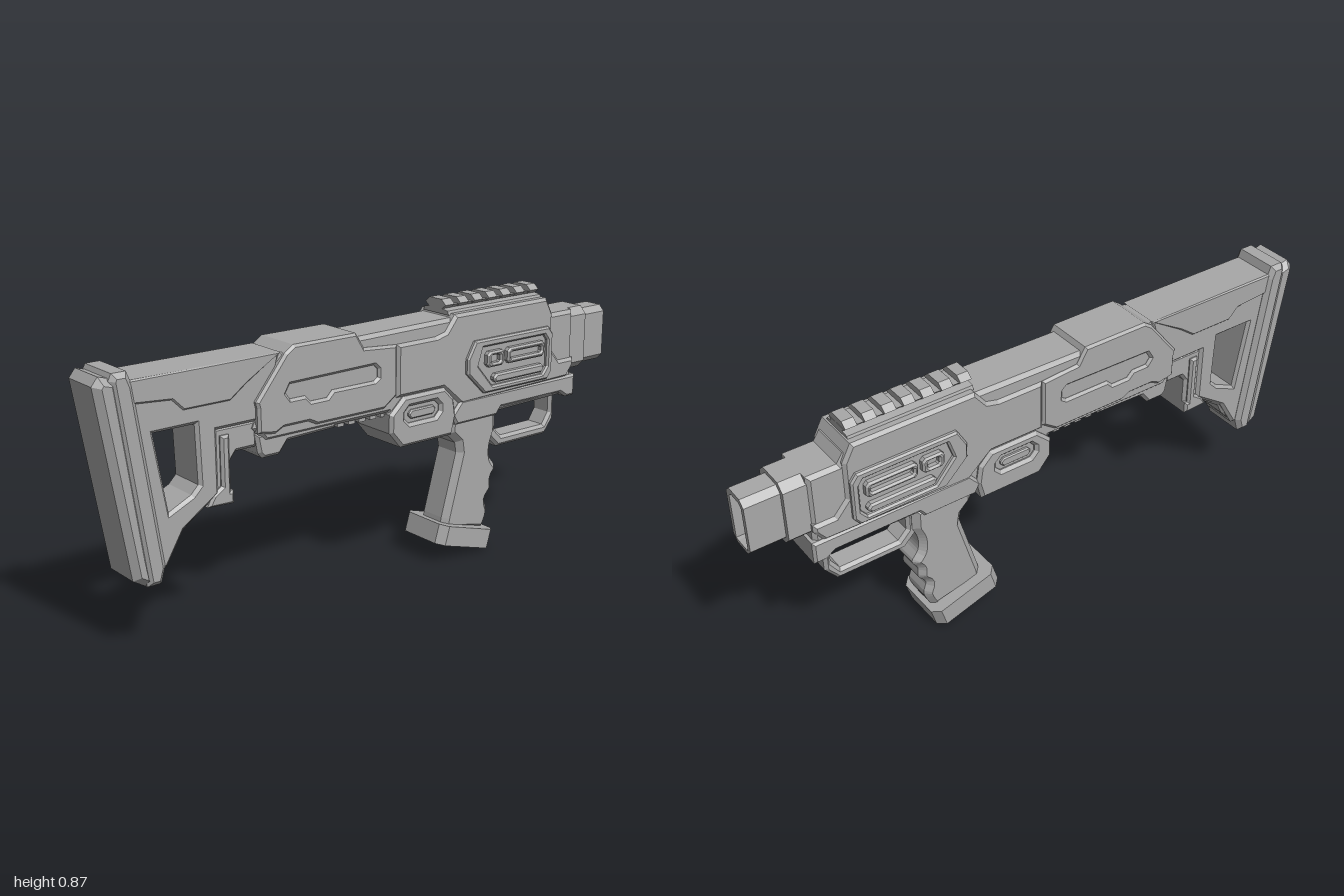
import * as THREE from 'three';

const grey = new THREE.MeshStandardMaterial({ color: 0xa8a8a8 });
grey.name = 'gunmetal grey';

// Flat list x, y, x, y ... to points
function toPoints(list) {
  const out = [];
  for (let i = 0; i < list.length; i += 2) out.push(new THREE.Vector2(list[i], list[i + 1]));
  return out;
}

// Shape with a counter-clockwise outline and clockwise holes
function toShape(points, holes) {
  const wind = (pts, clockwise) => (THREE.ShapeUtils.isClockWise(pts) === clockwise ? pts : pts.reverse());
  const shape = new THREE.Shape(wind(points, false));
  for (const h of holes) shape.holes.push(new THREE.Path(wind(toPoints(h), true)));
  return shape;
}

// Rectangle with clipped corners
function clipped(x0, x1, y0, y1, c) {
  return [x0 + c, y0, x1 - c, y0, x1, y0 + c, x1, y1 - c, x1 - c, y1, x0 + c, y1, x0, y1 - c, x0, y0 + c];
}

export function createModel() {
  const model = new THREE.Group();
  const add = (name, geometry) => {
    const mesh = new THREE.Mesh(geometry, grey);
    mesh.name = name;
    model.add(mesh);
    return mesh;
  };

  // Side profile extruded through z, symmetric, with chamfered rims
  const slabFrom = (name, points, half, bevel, holes = []) => {
    const g = new THREE.ExtrudeGeometry(toShape(points, holes), {
      depth: 2 * (half - bevel), bevelThickness: bevel, bevelSize: bevel, bevelOffset: -bevel, bevelSegments: 1,
    });
    g.translate(0, 0, -(half - bevel));
    return add(name, g);
  };
  const slab = (name, outline, half, bevel, holes) => slabFrom(name, toPoints(outline), half, bevel, holes);

  // Cross-section (z, y) extruded along x
  const alongX = (name, outline, x0, x1, holes = []) => {
    const g = new THREE.ExtrudeGeometry(toShape(toPoints(outline), holes), { depth: x1 - x0, bevelEnabled: false });
    g.rotateY(Math.PI / 2);
    g.translate(x0, 0, 0);
    return add(name, g);
  };

  // Butt pad in two layers
  slab('buttPad', [-1, 0.81, -0.98, 0.835, -0.93, 0.82, -0.85, 0.22, -0.87, 0.21, -0.91, 0.235], 0.082, 0.02);
  slab('buttPlate', [-0.955, 0.82, -0.945, 0.84, -0.9, 0.84, -0.885, 0.8, -0.81, 0.26, -0.825, 0.21, -0.87, 0.21], 0.086, 0.015);

  // Stock with its opening, raised cheek panel and lower brace
  slab('stock', [-0.91, 0.81, -0.4, 0.81, -0.45, 0.62, -0.62, 0.62, -0.62, 0.43, -0.74, 0.35, -0.8, 0.25, -0.85, 0.25],
    0.07, 0.01, [[-0.825, 0.65, -0.69, 0.65, -0.685, 0.47, -0.71, 0.445, -0.785, 0.41]]);
  slab('cheekPanel', [-0.9, 0.813, -0.4, 0.813, -0.52, 0.74, -0.575, 0.7, -0.73, 0.7, -0.765, 0.735, -0.89, 0.745], 0.075, 0.005);
  slab('stockBrace', [-0.64, 0.625, -0.48, 0.625, -0.48, 0.54, -0.55, 0.54, -0.57, 0.515, -0.57, 0.39, -0.66, 0.395,
    -0.74, 0.34, -0.76, 0.3, -0.82, 0.235, -0.83, 0.3, -0.67, 0.43, -0.64, 0.46], 0.06, 0.01);
  slab('stockHook', [-0.61, 0.6, -0.58, 0.6, -0.58, 0.43, -0.57, 0.43, -0.57, 0.39, -0.66, 0.395, -0.64, 0.43, -0.61, 0.45], 0.072, 0.008);

  // Receiver core and the raised panels over it
  slab('receiver', [-0.5, 0.6, -0.4, 0.81, 0.3, 0.82, 0.7, 0.8, 0.72, 0.77, 0.82, 0.77, 0.82, 0.48, 0.32, 0.47, 0.04, 0.47,
    0, 0.555, -0.2, 0.555, -0.46, 0.555], 0.077, 0.012);
  slab('rearPanel', [-0.495, 0.68, -0.49, 0.66, -0.49, 0.585, -0.43, 0.575, -0.4, 0.59, -0.31, 0.59, -0.28, 0.575,
    -0.02, 0.575, 0.03, 0.61, 0.03, 0.77, -0.1, 0.78, -0.13, 0.83, -0.36, 0.83, -0.39, 0.81], 0.086, 0.008,
    [[-0.39, 0.69, -0.375, 0.715, -0.06, 0.72, -0.045, 0.705, -0.045, 0.68, -0.06, 0.67, -0.22, 0.67, -0.24, 0.65,
      -0.3, 0.65, -0.32, 0.67, -0.375, 0.67]]);
  slab('frontReceiver', [0.03, 0.6, 0.03, 0.77, 0.19, 0.77, 0.23, 0.78, 0.27, 0.83, 0.68, 0.83, 0.71, 0.775,
    0.71, 0.65, 0.75, 0.605, 0.82, 0.605, 0.82, 0.58, 0.79, 0.54, 0.3, 0.53, 0.22, 0.6], 0.087, 0.01);
  slab('lowerRail', [0.3, 0.545, 0.83, 0.545, 0.83, 0.47, 0.79, 0.47, 0.76, 0.49, 0.48, 0.49, 0.46, 0.465, 0.28, 0.465, 0.26, 0.5],
    0.087, 0.008);

  // Underside lug and ribs
  slab('rearLug', [-0.49, 0.58, -0.48, 0.52, -0.465, 0.503, -0.405, 0.503, -0.375, 0.54, -0.2, 0.545, -0.18, 0.58], 0.07, 0.01);
  for (let i = 0; i < 5; i++) {
    const rib = add('undersideRib', new THREE.BoxGeometry(0.025, 0.03, 0.11));
    rib.position.set(-0.17 + i * 0.042, 0.555, 0);
  }

  // Octagonal side housing with recessed slot
  slab('lowerHousing', [0, 0.49, 0.045, 0.437, 0.26, 0.437, 0.275, 0.5, 0.265, 0.56, 0.225, 0.6, 0.055, 0.6, 0, 0.55],
    0.091, 0.01, [clipped(0.06, 0.205, 0.51, 0.565, 0.018)]);
  slab('housingInsert', clipped(0.078, 0.187, 0.523, 0.552, 0.01), 0.087, 0.004);

  // Framed window and its inserts on each side
  slab('sideFrame', [0.313, 0.63, 0.313, 0.68, 0.345, 0.735, 0.68, 0.735, 0.7, 0.71, 0.7, 0.58, 0.68, 0.555, 0.39, 0.555],
    0.101, 0.006, [[0.36, 0.65, 0.38, 0.71, 0.66, 0.71, 0.675, 0.69, 0.675, 0.6, 0.655, 0.575, 0.425, 0.575]]);
  slab('sideButton', clipped(0.395, 0.47, 0.64, 0.692, 0.01), 0.107, 0.006, [clipped(0.413, 0.452, 0.653, 0.679, 0.005)]);
  slab('sideBar', clipped(0.485, 0.657, 0.64, 0.692, 0.01), 0.107, 0.006, [clipped(0.5, 0.642, 0.655, 0.677, 0.005)]);
  slab('sideLowerBar', clipped(0.425, 0.655, 0.585, 0.614, 0.01), 0.107, 0.006);

  // Muzzle: collar and hollow rectangular barrel
  alongX('collar', clipped(-0.068, 0.068, 0.555, 0.77, 0.025), 0.8, 0.89);
  alongX('barrel', clipped(-0.052, 0.052, 0.563, 0.757, 0.02), 0.88, 1, [clipped(-0.035, 0.035, 0.565, 0.74, 0.012).map((v, i) => (i % 2 ? Math.max(v, 0.575) : v))]);

  // Top rail with seven teeth
  alongX('railBase', [-0.06, 0.825, 0.06, 0.825, 0.055, 0.838, 0.03, 0.842, 0.04, 0.852, -0.04, 0.852, -0.03, 0.842, -0.055, 0.838], 0.26, 0.675);
  for (let i = 0; i < 7; i++) {
    const x = 0.258 + i * 0.063;
    alongX('railTooth', [-0.028, 0.84, 0.028, 0.84, 0.048, 0.855, 0.028, 0.872, -0.028, 0.872, -0.048, 0.855], x, x + 0.038);
  }

  // Trigger guard
  slab('triggerGuard', [0.465, 0.49, 0.78, 0.49, 0.78, 0.385, 0.74, 0.335, 0.51, 0.335, 0.465, 0.38], 0.042, 0.01,
    [[0.5, 0.47, 0.757, 0.47, 0.757, 0.41, 0.73, 0.37, 0.53, 0.37, 0.5, 0.4]]);

  // Grip with a wavy finger edge, and its flared base
  const fingers = new THREE.SplineCurve(toPoints([0.485, 0.4, 0.468, 0.355, 0.47, 0.31, 0.494, 0.272, 0.475, 0.238,
    0.475, 0.2, 0.45, 0.165, 0.46, 0.12, 0.435, 0.06])).getPoints(32);
  const gripBack = toPoints([0.25, 0.1, 0.258, 0.14, 0.318, 0.355, 0.312, 0.39, 0.275, 0.425, 0.275, 0.48, 0.485, 0.48]);
  slabFrom('grip', [...gripBack, ...fingers], 0.063, 0.02);
  const base = new THREE.ExtrudeGeometry(toShape(toPoints(clipped(-0.123, 0.123, -0.1, 0.1, 0.025)), []), { depth: 0.066, bevelEnabled: false });
  base.rotateX(-Math.PI / 2);
  base.rotateZ(-0.29);
  add('gripBase', base).position.set(0.32, 0.036, 0);

  return model;
}
